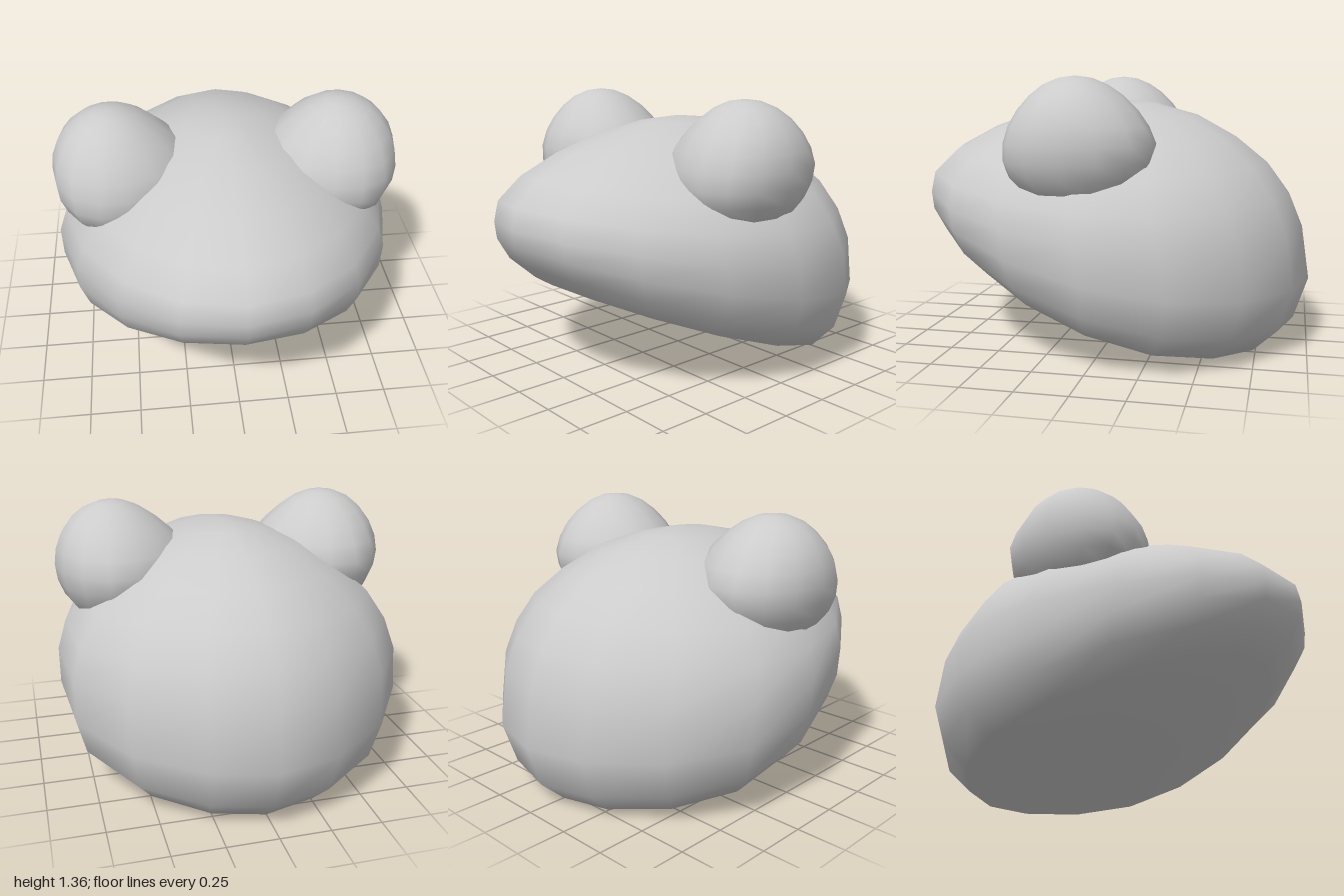
import * as THREE from 'three';
import { mergeVertices } from 'three/addons/utils/BufferGeometryUtils.js';

const SEGMENTS = 16;

// Head rings from the underside up: front z, front y, back z, back y, half width
const RINGS = [
  [0.42, 0.335, -0.48, 0.13, 0.38], // arched underside
  [0.80, 0.485, -0.80, 0.00, 0.72], // lower rim
  [0.93, 0.60, -0.93, 0.12, 0.82],
  [0.99, 0.70, -1.00, 0.33, 0.865],
  [1.00, 0.78, -0.96, 0.60, 0.865],
  [0.98, 0.88, -0.89, 0.77, 0.82],
  [0.86, 0.99, -0.78, 0.92, 0.725],
  [0.67, 1.09, -0.62, 1.05, 0.57],
  [0.45, 1.17, -0.42, 1.16, 0.39],
  [0.20, 1.225, -0.20, 1.22, 0.19],
];

// Lofts tilted egg-shaped rings whose sides sag, closed above and below
function headGeometry() {
  const positions = [];
  const index = [];
  for (const [fz, fy, bz, by, w] of RINGS) {
    for (let j = 0; j < SEGMENTS; j++) {
      const a = (j / SEGMENTS) * Math.PI * 2;
      const c = Math.cos(a);
      const t = (1 + c) / 2;
      const taper = 1 - 0.12 * c - 0.25 * Math.max(0, -c) ** 3;
      const sag = 0.085 * w * Math.sin(a) ** 2;
      positions.push(w * Math.sin(a) * taper, by + (fy - by) * t - sag, bz + (fz - bz) * t);
    }
  }
  const crown = positions.length / 3;
  const base = crown + 1;
  positions.push(0, 1.24, 0, 0, 0.2, 0);
  for (let j = 0; j < SEGMENTS; j++) {
    const next = (j + 1) % SEGMENTS;
    index.push(base, next, j);
    for (let i = 0; i < RINGS.length - 1; i++) {
      const a = i * SEGMENTS + j;
      const b = i * SEGMENTS + next;
      index.push(a, b, b + SEGMENTS, a, b + SEGMENTS, a + SEGMENTS);
    }
    const top = (RINGS.length - 1) * SEGMENTS;
    index.push(top + j, top + next, crown);
  }
  const geometry = new THREE.BufferGeometry();
  geometry.setAttribute('position', new THREE.Float32BufferAttribute(positions, 3));
  geometry.setIndex(index);
  geometry.computeVertexNormals();
  return geometry;
}

// Dome with an overhanging front lip, flaring into the head inward and backward
function eyeGeometry(side) {
  const sphere = new THREE.SphereGeometry(1, 14, 12);
  sphere.deleteAttribute('normal');
  sphere.deleteAttribute('uv');
  const geometry = mergeVertices(sphere);
  const p = geometry.attributes.position;
  for (let i = 0; i < p.count; i++) {
    const x = p.getX(i);
    const y = p.getY(i);
    const z = p.getZ(i);
    const low = THREE.MathUtils.clamp((0.9 - y) / 0.9, 0, 1);
    const lipLow = THREE.MathUtils.clamp((0.7 - y) / 1.2, 0, 1);
    const inward = Math.max(0, -side * x);
    const depth = z > 0 ? 1 + lipLow * (0.22 + 0.25 * x * x) : 1 + 0.25 * low;
    const flare = 1 + 0.4 * low * inward;
    p.setXYZ(i, x * 0.295 * flare, y * 0.31, z * 0.3 * depth);
  }
  geometry.computeVertexNormals();
  return geometry;
}

export function createModel() {
  const model = new THREE.Group();
  const material = new THREE.MeshStandardMaterial({ color: 0xcccccc });

  const head = new THREE.Mesh(headGeometry(), material);
  head.name = 'head';
  model.add(head);

  // Mirrored eye bumps
  for (const side of [1, -1]) {
    const eye = new THREE.Mesh(eyeGeometry(side), material);
    eye.name = side > 0 ? 'leftEyeBump' : 'rightEyeBump';
    eye.position.set(side * 0.555, 1.045, 0.08);
    model.add(eye);
  }
  return model;
}
